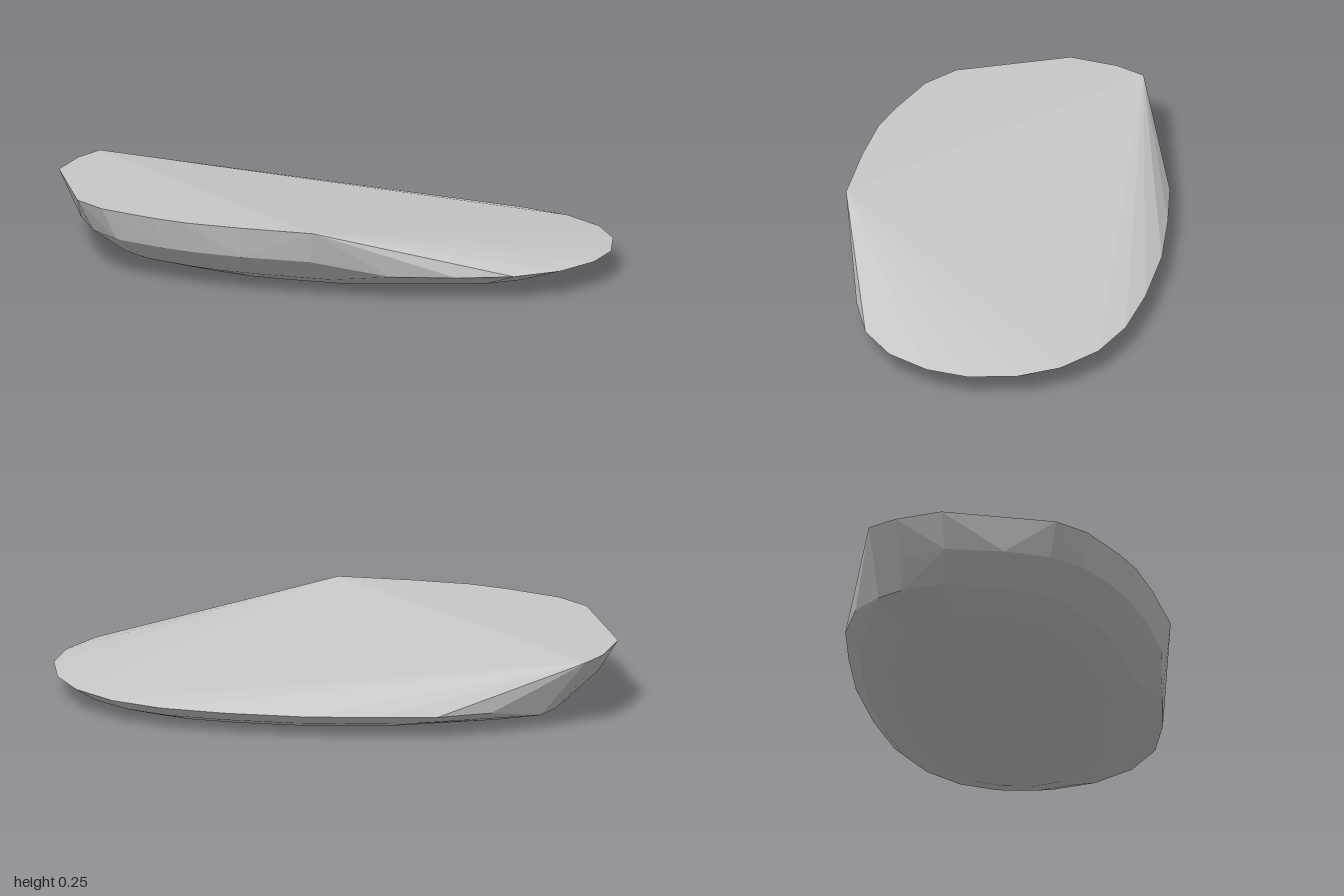
import * as THREE from 'three';
import { ConvexGeometry } from 'three/addons/geometries/ConvexGeometry.js';

// Faceted shallow slab: a high rim on the left, a low rim on the right and a rounded underside.
export function createModel() {
  const group = new THREE.Group();
  group.name = 'facetedSlab';
  const grey = new THREE.MeshStandardMaterial({ color: 0xc8c8c8 });
  grey.name = 'light grey';

  // Rims as [x, z]
  const highRim = [
    [-0.92, -0.325], [-0.97, -0.22], [-1, -0.05], [-0.84, 0.33], [-0.73, 0.42],
    [-0.53, 0.495], [-0.4, 0.53], [-0.2, 0.55], [0.07, 0.56],
  ];
  const lowRim = [
    [0.33, 0.478], [0.56, 0.435], [0.75, 0.37], [0.89, 0.26], [0.975, 0.11],
    [1, -0.04], [0.965, -0.21], [0.88, -0.35], [0.74, -0.46], [0.56, -0.525],
    [0.33, -0.555], [0.05, -0.563], [-0.2, -0.54], [-0.42, -0.508],
    [-0.6, -0.435], [-0.76, -0.33],
  ];
  // Shoulder beneath the overhanging high rim
  const shoulder = [
    [-0.88, -0.22], [-0.93, -0.05], [-0.87, 0.15], [-0.79, 0.3], [-0.68, 0.4],
    [-0.5, 0.47], [-0.38, 0.5], [-0.2, 0.525], [0.05, 0.53],
  ];

  const points = [];
  const addRing = (ring, y) => ring.forEach(([x, z]) => points.push(new THREE.Vector3(x, y, z)));
  addRing(highRim, 0.25);
  addRing(shoulder, 0.137);
  addRing(lowRim, 0.087);

  // Underside: the whole outline shrinking toward the base
  const outline = [...highRim, [-0.93, 0.16], ...lowRim];
  const underside = [
    // y, centre x, scale x, scale z
    [0.05, 0.045, 0.875, 0.85],
    [0.006, 0.07, 0.72, 0.65],
    [0, 0.08, 0.58, 0.5],
  ];
  for (const [y, cx, sx, sz] of underside) {
    addRing(outline.map(([x, z]) => [cx + x * sx, -0.045 + z * sz]), y);
  }

  const slab = new THREE.Mesh(new ConvexGeometry(points), grey);
  slab.name = 'slab';
  group.add(slab);
  return group;
}
